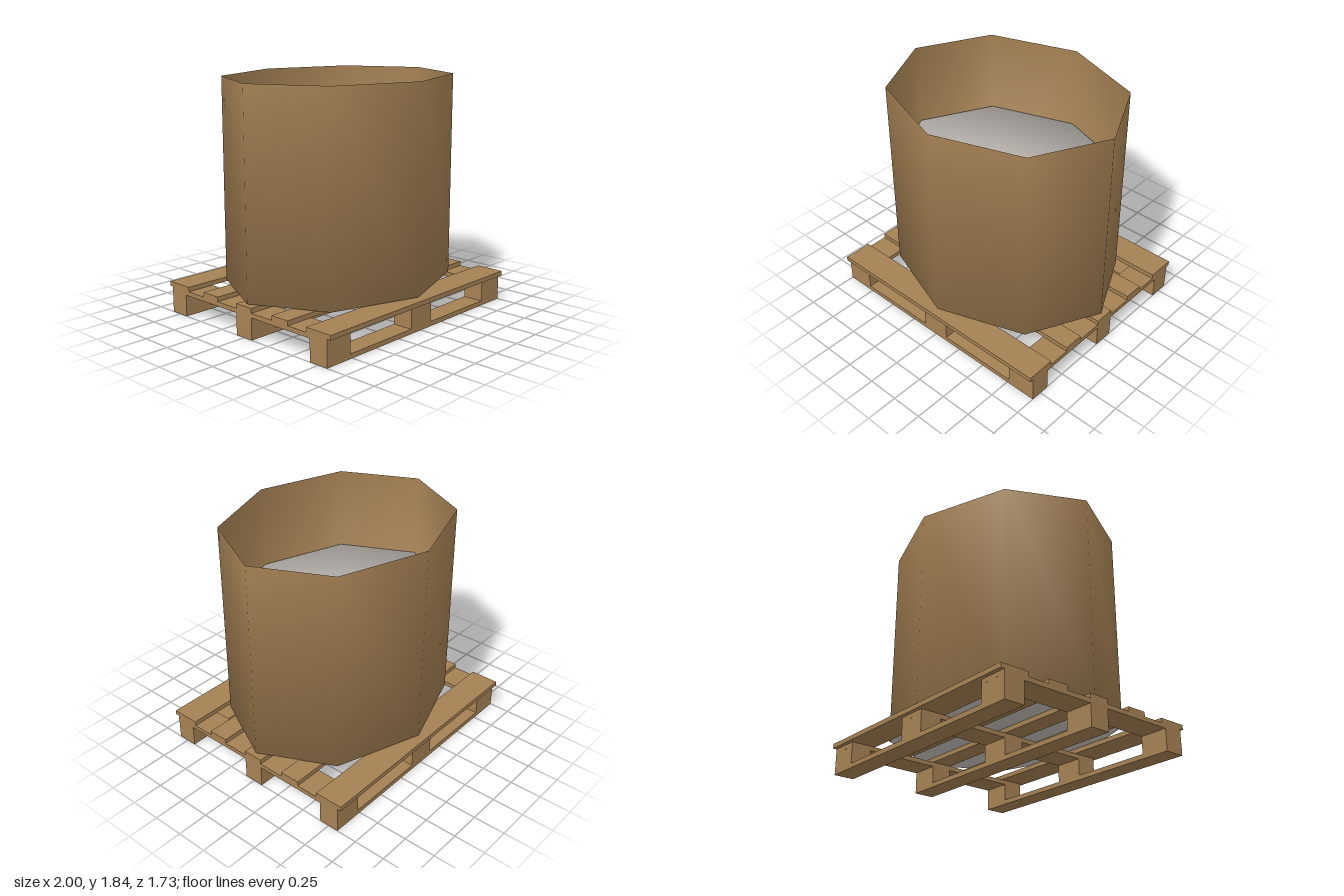
import * as THREE from 'three';

const cardboard = new THREE.MeshStandardMaterial({ name: 'cardboard brown', color: 0xa68254, side: THREE.DoubleSide });
const wood = new THREE.MeshStandardMaterial({ name: 'pallet wood', color: 0xa68254 });
const filling = new THREE.MeshStandardMaterial({ name: 'filling grey', color: 0xc2bcb6 });

// Smooth eight-sided shell, wider in x than in z
function octagon(name, points, material) {
  const profile = points.map(([r, y]) => new THREE.Vector2(r, y));
  const geometry = new THREE.LatheGeometry(profile, 8);
  geometry.scale(0.965, 1, 0.8);
  const mesh = new THREE.Mesh(geometry, material);
  mesh.name = name;
  return mesh;
}

function board(name, w, h, d, x, y, z) {
  const mesh = new THREE.Mesh(new THREE.BoxGeometry(w, h, d), wood);
  mesh.name = name;
  mesh.position.set(x, y + h / 2, z);
  return mesh;
}

function createPallet() {
  const pallet = new THREE.Group();
  pallet.name = 'pallet';

  // Ground runners and the nine blocks
  for (const z of [-0.752, 0, 0.752]) {
    pallet.add(board('runner', 2, 0.037, 0.163, 0, 0, z));
    for (const x of [-0.885, 0, 0.885]) {
      pallet.add(board('block', 0.23, 0.133, 0.163, x, 0.037, z));
    }
  }

  // Cross boards from front to back
  for (const x of [-0.885, 0, 0.885]) {
    pallet.add(board('crossBoard', 0.23, 0.035, 1.668, x, 0.17, 0));
  }

  // Deck boards: wide at the edges, narrow between
  for (const [z, depth] of [[-0.75, 0.23], [-0.375, 0.163], [0, 0.163], [0.375, 0.163], [0.75, 0.23]]) {
    pallet.add(board('deckBoard', 2, 0.036, depth, 0, 0.205, z));
  }
  return pallet;
}

export function createModel() {
  const model = new THREE.Group();
  model.name = 'palletBox';
  model.add(createPallet());

  // Open-topped box with its floor
  model.add(octagon('box', [[0, 0.246], [1, 0.246], [1, 1.835]], cardboard));

  // Contents, filling the box a little over halfway
  model.add(octagon('contents', [[0, 0.243], [0.983, 0.243], [0.983, 1.185], [0, 1.185]], filling));
  return model;
}
